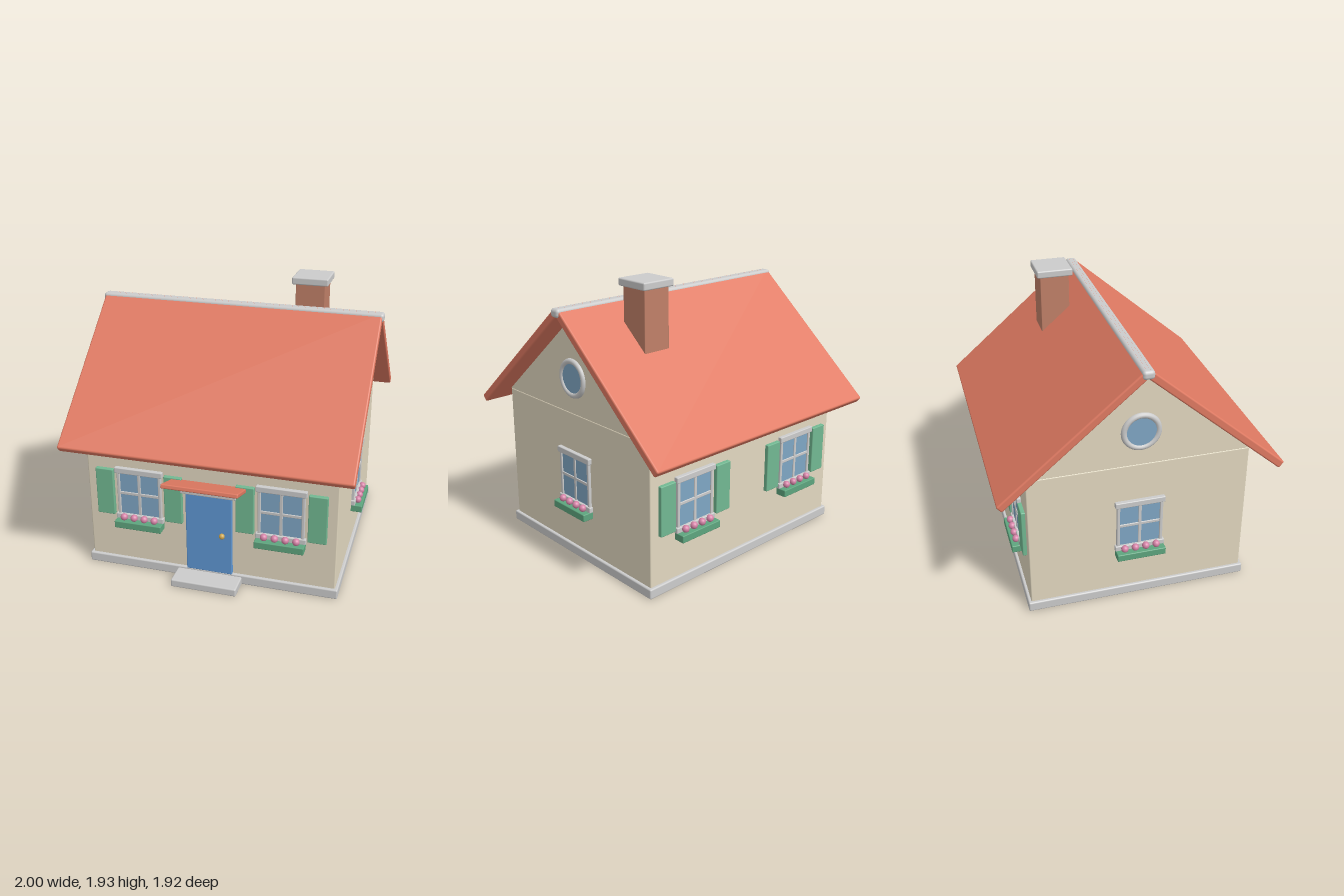
import * as THREE from 'three';
import { RoundedBoxGeometry } from 'three/addons/geometries/RoundedBoxGeometry.js';

const mat = (color) => new THREE.MeshStandardMaterial({ color });
const M = {
  trim: mat(0xcccccc), wall: mat(0xe2d8c0), roof: mat(0xe07a62), brick: mat(0xc08068),
  glass: mat(0x7fa6c4), shutter: mat(0x72b892), planter: mat(0x5ea57e),
  door: mat(0x5f97d4), flower: mat(0xd684a8), brass: mat(0xd0a850),
};

function add(parent, name, geometry, material, x, y, z) {
  const mesh = new THREE.Mesh(geometry, material);
  mesh.name = name;
  mesh.position.set(x, y, z);
  parent.add(mesh);
  return mesh;
}

// softly rounded box, placed by its centre
function box(parent, name, material, w, h, d, x, y, z, r = 0.006) {
  return add(parent, name, new RoundedBoxGeometry(w, h, d, 2, r), material, x, y, z);
}

function group(parent, name) {
  const g = new THREE.Group();
  g.name = name;
  parent.add(g);
  return g;
}

const WX = 0.87, WZ = 0.75, EAVE = 1.045;

// window with flower box, built on the plane z = 0 and facing +z
function makeWindow(parent, name, shutters) {
  const g = group(parent, name);
  box(g, 'glass', M.glass, 0.29, 0.34, 0.02, 0, 0.58, 0, 0.002);
  for (const s of [-1, 1]) box(g, 'frameSide', M.trim, 0.022, 0.34, 0.04, s * 0.148, 0.58, 0);
  box(g, 'mullion', M.trim, 0.022, 0.33, 0.032, 0, 0.58, 0, 0.004);
  box(g, 'transom', M.trim, 0.29, 0.022, 0.032, 0, 0.584, 0, 0.004);
  box(g, 'lintel', M.trim, 0.342, 0.042, 0.056, 0, 0.757, 0);
  box(g, 'sill', M.trim, 0.342, 0.04, 0.056, 0, 0.408, 0);
  box(g, 'flowerBox', M.planter, 0.336, 0.052, 0.09, 0, 0.366, 0.033);
  for (let i = 0; i < 4; i++) {
    add(g, 'flower', new THREE.SphereGeometry(0.025, 16, 12), M.flower, (i - 1.5) * 0.073, 0.412, 0.04);
  }
  if (shutters) {
    for (const s of [-1, 1]) box(g, 'shutter', M.shutter, 0.126, 0.345, 0.036, s * 0.245, 0.585, 0.01);
  }
  return g;
}

export function createModel() {
  const root = new THREE.Group();
  root.name = 'cottage';
  const house = group(root, 'house');
  house.position.z = -0.01;

  // foundation, walls and step
  box(house, 'foundation', M.trim, 1.78, 0.07, 1.54, 0, 0.035, 0, 0.01);
  box(house, 'walls', M.wall, WX * 2, EAVE - 0.06, WZ * 2, 0, (EAVE + 0.06) / 2, 0, 0.008);
  box(house, 'doorStep', M.trim, 0.46, 0.056, 0.2, 0, 0.028, 0.825, 0.01);

  // gable prism, extruded along x
  const tri = new THREE.Shape([[-WZ, EAVE], [WZ, EAVE], [0, 1.69]].map(([a, b]) => new THREE.Vector2(a, b)));
  const prism = new THREE.ExtrudeGeometry(tri, { depth: WX * 2, bevelEnabled: false });
  prism.translate(0, 0, -WX).rotateY(Math.PI / 2);
  add(house, 'gable', prism, M.wall, 0, 0, 0);

  // two roof slabs meeting at the ridge
  const slope = Math.atan(0.86), len = 1.245, thick = 0.055;
  for (const s of [1, -1]) {
    const slab = box(house, s > 0 ? 'frontRoof' : 'backRoof', M.roof, 1.976, thick, len, 0,
      1.777 - Math.sin(slope) * len / 2 - Math.cos(slope) * thick / 2,
      s * (0.011 + Math.cos(slope) * len / 2 - Math.sin(slope) * thick / 2), 0.012);
    slab.rotation.x = s * slope;
  }
  box(house, 'ridgeCap', M.trim, 2, 0.06, 0.08, 0, 1.742, 0, 0.022);

  // chimney on the back slope
  box(house, 'chimney', M.brick, 0.206, 0.58, 0.206, 0.462, 1.6, -0.263, 0.004);
  box(house, 'chimneyCap', M.trim, 0.254, 0.052, 0.254, 0.462, 1.908, -0.263, 0.01);

  // front and back windows with shutters, single windows at the sides
  for (const x of [-0.495, 0.495]) {
    makeWindow(house, 'frontWindow', true).position.set(x, 0, WZ);
    const back = makeWindow(house, 'backWindow', true);
    back.position.set(x, 0, -WZ);
    back.rotation.y = Math.PI;
  }
  for (const s of [-1, 1]) {
    const side = makeWindow(house, 'sideWindow', false);
    side.position.x = s * WX;
    side.rotation.y = s * Math.PI / 2;

    // round gable window
    const round = group(house, 'roundWindow');
    round.position.set(s * WX, 1.29, 0);
    round.rotation.y = s * Math.PI / 2;
    add(round, 'ring', new THREE.TorusGeometry(0.115, 0.02, 12, 40), M.trim, 0, 0, 0);
    const pane = new THREE.CylinderGeometry(0.112, 0.112, 0.02, 40).rotateX(Math.PI / 2);
    add(round, 'pane', pane, M.glass, 0, 0, 0);
  }

  // door, its head trim, knob and tilted canopy
  box(house, 'door', M.door, 0.323, 0.585, 0.05, 0, 0.36, WZ);
  box(house, 'doorHead', M.trim, 0.386, 0.034, 0.07, 0, 0.67, WZ + 0.002);
  box(house, 'doorHeadUpper', M.trim, 0.36, 0.03, 0.05, 0, 0.697, WZ);
  add(house, 'doorKnob', new THREE.SphereGeometry(0.02, 16, 12), M.brass, 0.095, 0.365, WZ + 0.032);
  const canopy = box(house, 'canopy', M.roof, 0.52, 0.03, 0.25, 0, 0.757, 0.853, 0.008);
  canopy.rotation.x = -0.31;

  return root;
}
